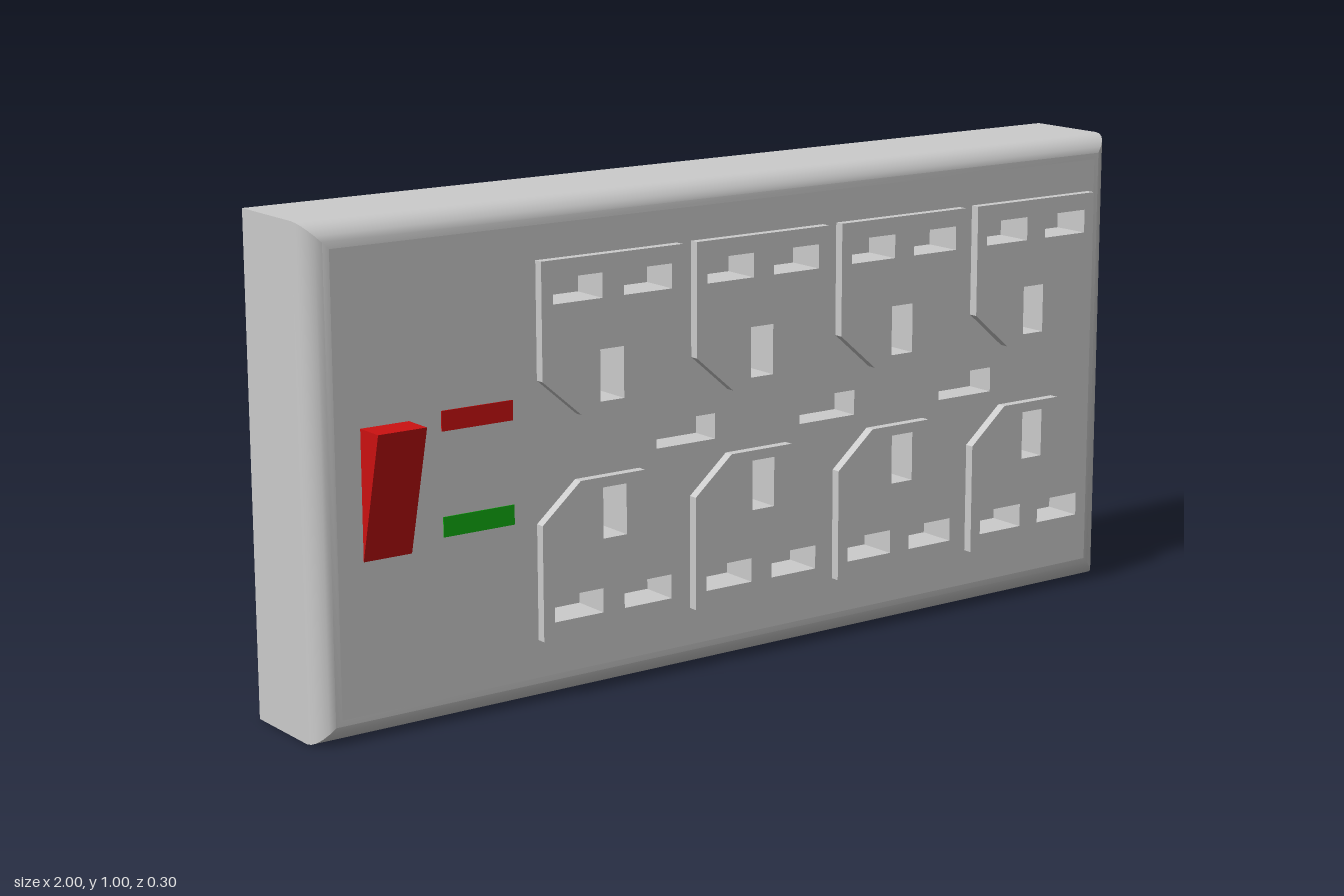
import * as THREE from 'three';
import { toCreasedNormals } from 'three/addons/utils/BufferGeometryUtils.js';

const W = 2, H = 1, BACK = -0.15, FACE = 0.085, BEVEL = 0.05, FLOOR = 0.02;
const PLATE_W = 0.333, PLATE_H = 0.312, PLATE_D = 0.02;

// slots of one socket, relative to the plate centre: [x, y, width, height]
const SLOTS = [
  [-0.083, 0.095, 0.115, 0.05],
  [0.083, 0.095, 0.115, 0.05],
  [-0.004, -0.083, 0.056, 0.104],
];

const material = (color = 0xcccccc) => new THREE.MeshStandardMaterial({ color });

function add(parent, name, geometry, mat) {
  const mesh = new THREE.Mesh(geometry, mat);
  mesh.name = name;
  parent.add(mesh);
  return mesh;
}

function rectHole([x, y, w, h]) {
  return new THREE.Path([
    new THREE.Vector2(x - w / 2, y - h / 2),
    new THREE.Vector2(x - w / 2, y + h / 2),
    new THREE.Vector2(x + w / 2, y + h / 2),
    new THREE.Vector2(x + w / 2, y - h / 2),
  ]);
}

// rectangular shell: straight sides, then a rounded bevel towards the front
function shellGeometry() {
  const rings = [[0, BACK]];
  const steps = 6;
  for (let i = 0; i <= steps; i++) {
    const a = (i / steps) * Math.PI / 2;
    rings.push([BEVEL * (1 - Math.cos(a)), FACE - BEVEL * (1 - Math.sin(a))]);
  }
  const corner = ([inset, z], k) => {
    const x = W / 2 - inset, y = H / 2 - inset;
    const sx = [-1, 1, 1, -1][k % 4], sy = [-1, -1, 1, 1][k % 4];
    return [sx * x, H / 2 + sy * y, z];
  };
  const pos = [];
  for (let r = 0; r < rings.length - 1; r++) {
    for (let k = 0; k < 4; k++) {
      const a = corner(rings[r], k), b = corner(rings[r], k + 1);
      const c = corner(rings[r + 1], k + 1), d = corner(rings[r + 1], k);
      pos.push(...a, ...b, ...c, ...a, ...c, ...d);
    }
  }
  const g = new THREE.BufferGeometry();
  g.setAttribute('position', new THREE.Float32BufferAttribute(pos, 3));
  g.computeVertexNormals();
  return toCreasedNormals(g, Math.PI / 6);
}

// front panel with all slot openings
function panelGeometry(slots) {
  const w = W / 2 - BEVEL;
  const shape = new THREE.Shape([
    new THREE.Vector2(-w, BEVEL), new THREE.Vector2(w, BEVEL),
    new THREE.Vector2(w, H - BEVEL), new THREE.Vector2(-w, H - BEVEL),
  ]);
  shape.holes = slots.map(rectHole);
  return new THREE.ShapeGeometry(shape).translate(0, 0, FACE);
}

// recess seen from inside: an inverted box without its front
function wellGeometry([x, y, w, h]) {
  const g = new THREE.BoxGeometry(w, h, FACE - FLOOR);
  const index = Array.from(g.index.array);
  index.splice(24, 6);
  g.setIndex(index.reverse());
  for (let i = 0; i < g.attributes.normal.array.length; i++) g.attributes.normal.array[i] *= -1;
  return g.translate(x, y, (FACE + FLOOR) / 2);
}

// raised socket plate with two clipped corners
function plateGeometry() {
  const w = PLATE_W / 2, h = PLATE_H / 2, cx = 0.09, cy = 0.077;
  const shape = new THREE.Shape([
    [-w + cx, -h], [w - cx, -h], [w, -h + cy], [w, h], [-w, h], [-w, -h + cy],
  ].map(([x, y]) => new THREE.Vector2(x, y)));
  shape.holes = SLOTS.map(rectHole);
  return new THREE.ExtrudeGeometry(shape, { depth: PLATE_D, bevelEnabled: false });
}

// wedge-shaped rocker
function rockerGeometry() {
  const shape = new THREE.Shape([
    new THREE.Vector2(FACE, 0.35), new THREE.Vector2(0.15, 0.607), new THREE.Vector2(FACE, 0.607),
  ]);
  const g = new THREE.ExtrudeGeometry(shape, { depth: 0.105, bevelEnabled: false });
  return g.rotateY(-Math.PI / 2).translate(-0.79, 0, 0);
}

export function createModel() {
  const model = new THREE.Group();
  model.name = 'powerStrip';
  const grey = material(), red = material(0xcc1111), green = material(0x11aa11);

  // socket positions: upper row upright, lower row turned half round
  const sockets = [];
  for (let i = 0; i < 4; i++) {
    sockets.push({ x: -0.337 + i * 0.3675, y: 0.726, turn: 1 });
    sockets.push({ x: -0.341 + i * 0.3675, y: 0.283, turn: -1 });
  }
  const slots = [-0.15, 0.211, 0.587].map((x) => [x, 0.498, 0.145, 0.053]);
  for (const { x, y, turn } of sockets) {
    for (const [sx, sy, w, h] of SLOTS) slots.push([x + turn * sx, y + turn * sy, w, h]);
  }

  // housing
  const housing = new THREE.Group();
  housing.name = 'housing';
  model.add(housing);
  add(housing, 'shell', shellGeometry(), grey);
  add(housing, 'frontPanel', panelGeometry(slots), grey);
  add(housing, 'backPanel', new THREE.PlaneGeometry(W, H).rotateY(Math.PI).translate(0, H / 2, BACK), grey);
  for (const slot of slots) add(housing, 'slotWell', wellGeometry(slot), grey);

  // socket plates
  const plate = plateGeometry();
  for (const { x, y, turn } of sockets) {
    const mesh = add(model, 'socketPlate', plate, grey);
    mesh.position.set(x, y, FACE);
    if (turn < 0) mesh.rotation.z = Math.PI;
  }

  // switch and indicator lights
  add(model, 'rockerSwitch', rockerGeometry(), red);
  const light = new THREE.BoxGeometry(0.16, 0.04, 0.004);
  add(model, 'redIndicator', light, red).position.set(-0.64, 0.597, FACE);
  add(model, 'greenIndicator', light, green).position.set(-0.64, 0.39, FACE);
  return model;
}
